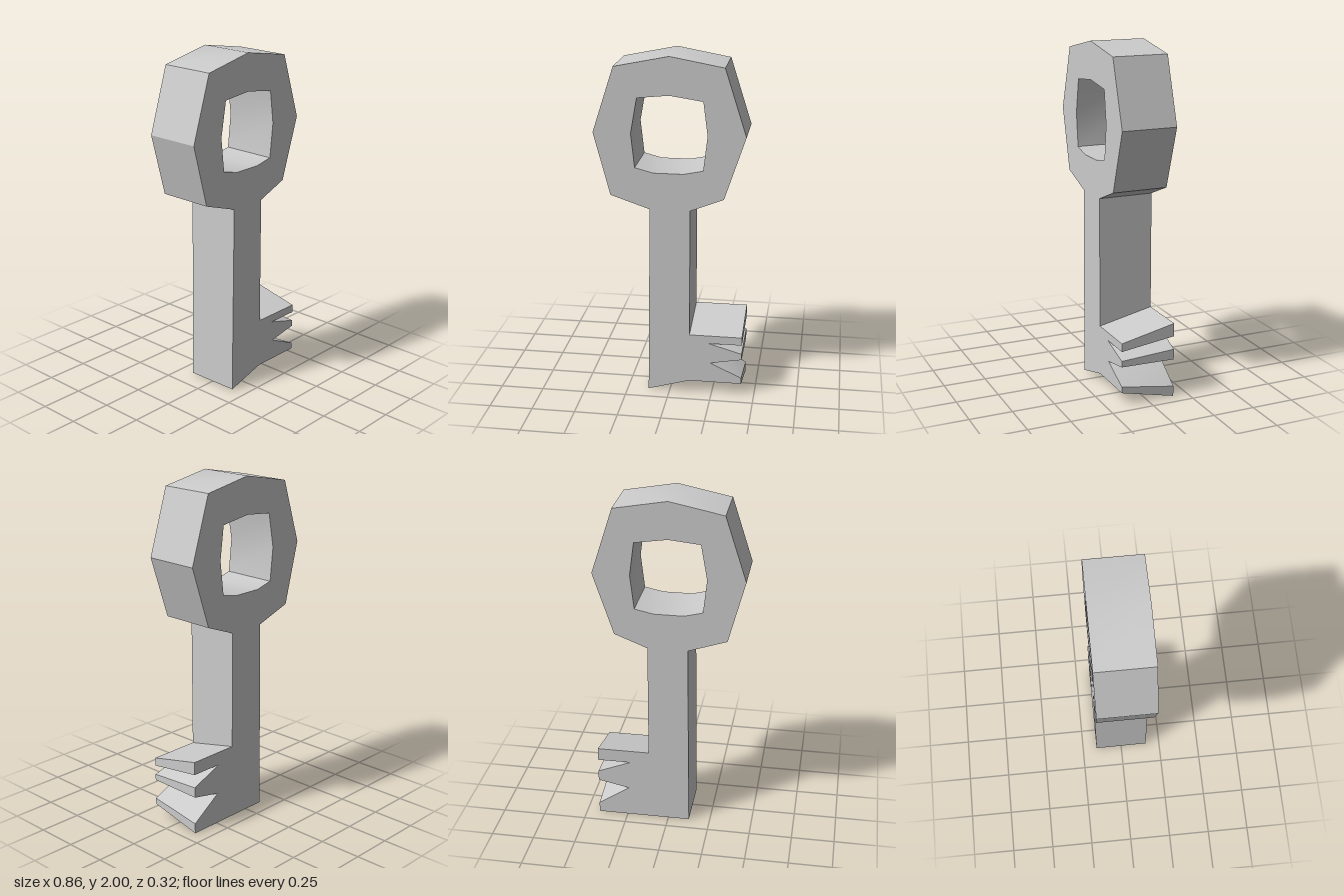
import * as THREE from 'three';
import { toCreasedNormals } from 'three/addons/utils/BufferGeometryUtils.js';

const HALF_DEPTH = 0.162;

// Outline, counter-clockwise: [x, y at the front, y at the back]
const outline = [
  // underside
  [-0.125, 0.005, 0], [0.118, 0.075, 0], [0.425, 0.075, 0],
  // teeth, slanting from front to back
  [0.425, 0.112, 0.06], [0.24, 0.197, 0.186], [0.425, 0.23, 0.225],
  [0.425, 0.266, 0.286], [0.23, 0.322, 0.365], [0.425, 0.322, 0.365],
  [0.425, 0.37, 0.442], [0.118, 0.37, 0.442],
  // right of the stem, round the bow, back to the stem
  [0.118, 1.13], [0.308, 1.205], [0.427, 1.565], [0.305, 1.945], [0, 2],
  [-0.31, 1.937], [-0.43, 1.565], [-0.335, 1.205], [-0.112, 1.13],
];

// Hole in the bow, clockwise
const hole = [
  [0, 1.785], [0.188, 1.757], [0.213, 1.565], [0.19, 1.366], [0.08, 1.343],
  [-0.09, 1.343], [-0.195, 1.37], [-0.216, 1.565], [-0.18, 1.767],
];

const front = ([x, y]) => new THREE.Vector3(x, y, HALF_DEPTH);
const back = ([x, y, yBack = y]) => new THREE.Vector3(x, yBack, -HALF_DEPTH);

function keyGeometry() {
  const corners = [];

  // Front and back faces
  for (const place of [front, back]) {
    const rim = outline.map(place), inner = hole.map(place);
    const all = [...rim, ...inner];
    for (const [a, b, c] of THREE.ShapeUtils.triangulateShape(rim, [inner])) {
      const order = place === front ? [a, b, c] : [a, c, b];
      corners.push(...order.map((i) => all[i]));
    }
  }

  // Walls around the outline and inside the hole
  for (const loop of [outline, hole]) {
    loop.forEach((p, i) => {
      const q = loop[(i + 1) % loop.length];
      corners.push(front(p), back(p), back(q), front(p), back(q), front(q));
    });
  }

  const geometry = new THREE.BufferGeometry().setFromPoints(corners);
  return toCreasedNormals(geometry, 0.45);
}

export function createModel() {
  const group = new THREE.Group();
  group.name = 'key';
  const body = new THREE.Mesh(
    keyGeometry(),
    new THREE.MeshStandardMaterial({ color: 0xcccccc }),
  );
  body.name = 'keyBody';
  group.add(body);
  return group;
}
